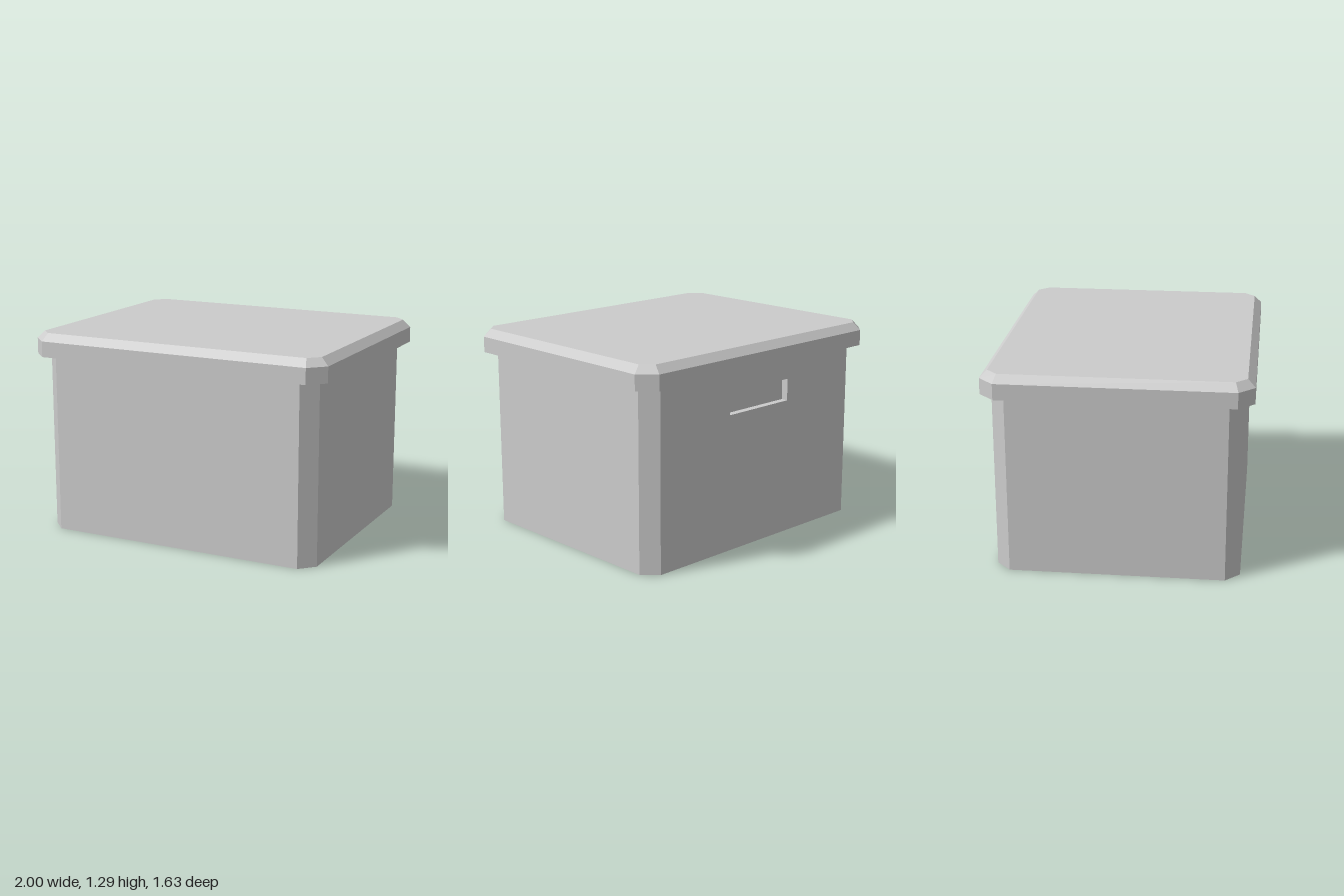
import * as THREE from 'three';

const material = new THREE.MeshStandardMaterial({ color: 0xcccccc, flatShading: true });

// Rectangle with cut corners at height y; the last edge (7 -> 0) is the back
function ring(w, d, c, y) {
  return [
    [w - c, -d], [w, c - d], [w, d - c], [w - c, d],
    [c - w, d], [-w, d - c], [-w, c - d], [c - w, -d],
  ].map(([x, z]) => new THREE.Vector3(x, y, z));
}

// Flat-faced solid through stacked rings, capped at both ends
function loft(rings, openBack = false) {
  const pts = [];
  for (let r = 0; r < rings.length - 1; r++) {
    const lo = rings[r], hi = rings[r + 1];
    for (let i = 0; i < (openBack ? 7 : 8); i++) {
      const j = (i + 1) % 8;
      pts.push(lo[i], hi[i], lo[j], lo[j], hi[i], hi[j]);
    }
  }
  const bottom = rings[0], top = rings[rings.length - 1];
  for (let i = 1; i < 7; i++) {
    pts.push(bottom[0], bottom[i], bottom[i + 1]);
    pts.push(top[0], top[i + 1], top[i]);
  }
  const geometry = new THREE.BufferGeometry().setFromPoints(pts);
  geometry.computeVertexNormals();
  return geometry;
}

function rectangle(Type, x0, x1, y0, y1) {
  const s = new Type();
  s.moveTo(x0, y0);
  s.lineTo(x1, y0);
  s.lineTo(x1, y1);
  s.lineTo(x0, y1);
  s.closePath();
  return s;
}

export function createModel() {
  const group = new THREE.Group();
  const add = (name, geometry, parent = group) => {
    const mesh = new THREE.Mesh(geometry, material);
    mesh.name = name;
    parent.add(mesh);
    return mesh;
  };

  const W = 0.93, D = 0.757, CUT = 0.09, H = 1.145;
  const depth = 0.045, slotW = 0.26, slotLo = 0.875, slotHi = 1.015;

  // Box body, with the back left open for the slotted wall
  const body = new THREE.Group();
  body.name = 'body';
  group.add(body);
  add('bodyWalls', loft([ring(W, D, CUT, 0), ring(W, D, CUT, H)], true), body);

  // Back wall with the handle slot cut into it
  const wall = rectangle(THREE.Shape, CUT - W, W - CUT, 0, H);
  wall.holes.push(rectangle(THREE.Path, -slotW, slotW, slotLo, slotHi));
  add('backWall', new THREE.ExtrudeGeometry(wall, { depth, bevelEnabled: false }), body)
    .position.z = -D;

  // Closed end of the handle slot
  add('handleSlotEnd', new THREE.BoxGeometry(2 * slotW + 0.04, slotHi - slotLo + 0.04, 0.02), body)
    .position.set(0, (slotLo + slotHi) / 2, depth + 0.01 - D);

  // Overhanging lid with a bevelled top edge
  add('lid', loft([
    ring(1, 0.815, 0.098, H),
    ring(1, 0.815, 0.098, 1.245),
    ring(0.953, 0.768, 0.068, 1.293),
  ]));

  return group;
}
